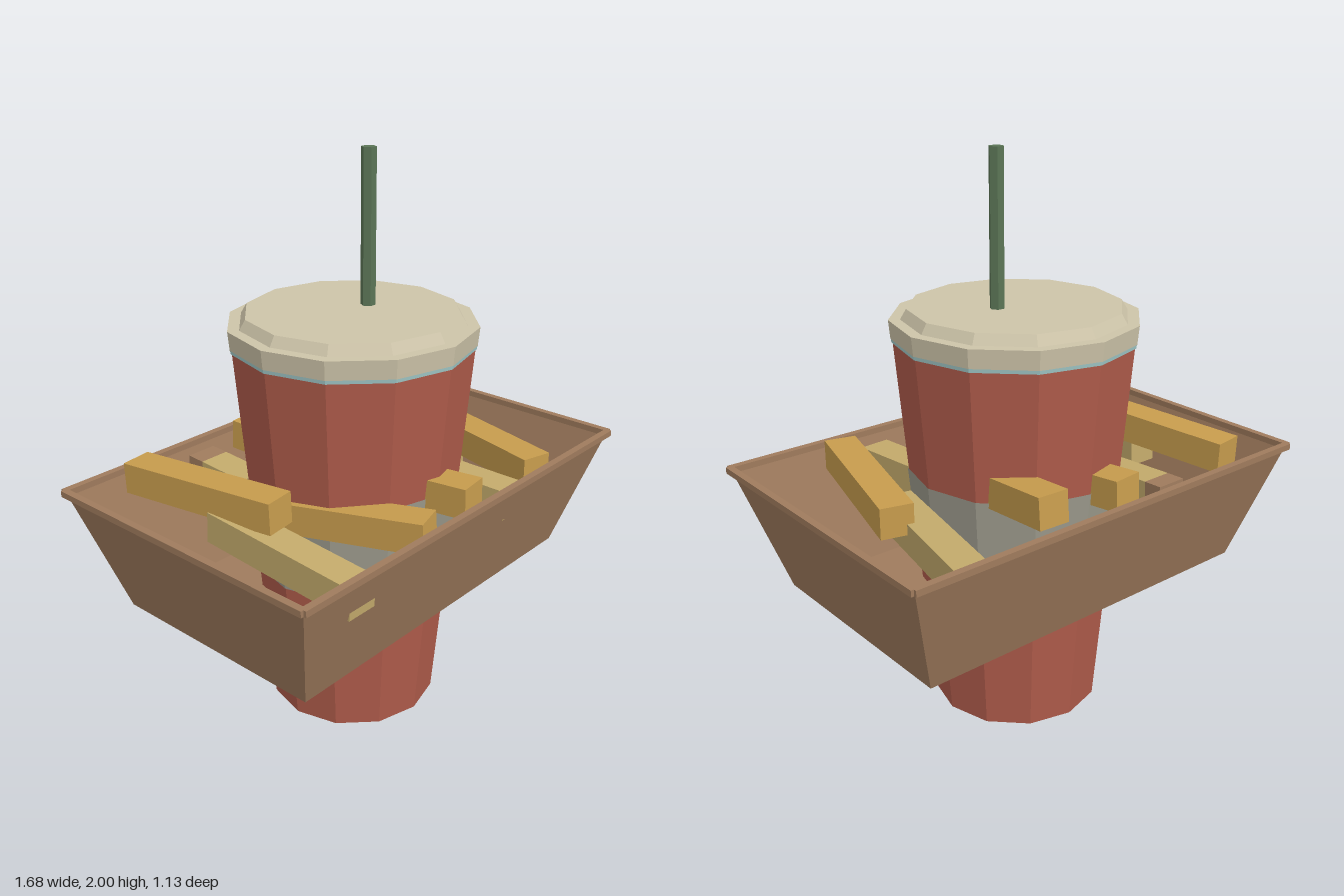
import * as THREE from 'three';

const mat = (name, color, extra = {}) => {
  const m = new THREE.MeshStandardMaterial({ color, flatShading: true, ...extra });
  m.name = name;
  return m;
};

export function createModel() {
  const root = new THREE.Group();
  root.name = 'drinkWithSnackTray';
  const red = mat('cup red', 0xb05c4b);
  const cream = mat('lid cream', 0xcdc4a9);
  const ice = mat('pale teal', 0xa4cccb);
  const grey = mat('band grey', 0x9c9a8c);
  const green = mat('straw green', 0x5b7556);
  const brown = mat('tray brown', 0x9f7b5d, { side: THREE.DoubleSide });
  const gold = mat('fry gold', 0xc79c4d);
  const pale = mat('fry pale', 0xc3aa6b);

  const add = (parent, name, geo, material, x = 0, y = 0, z = 0) => {
    const m = new THREE.Mesh(geo, material);
    m.name = name;
    m.position.set(x, y, z);
    parent.add(m);
    return m;
  };
  // Tapered twelve-sided section between two heights
  const ring = (parent, name, y0, r0, y1, r1, material, open = false) =>
    add(parent, name, new THREE.CylinderGeometry(r1, r0, y1 - y0, 12, 1, open), material, 0, (y0 + y1) / 2);

  // Cup with the band that sits inside the tray
  const cup = new THREE.Group();
  cup.name = 'cup';
  root.add(cup);
  ring(cup, 'cupBody', 0, 0.305, 1.37, 0.418, red);
  ring(cup, 'cupBand', 0.55, 0.354, 0.905, 0.383, grey, true);

  // Lid and straw
  ring(cup, 'lidSeal', 1.362, 0.421, 1.38, 0.424, ice);
  ring(cup, 'lidFlange', 1.375, 0.424, 1.44, 0.43, cream);
  ring(cup, 'lidTop', 1.44, 0.39, 1.475, 0.369, cream);
  const straw = add(cup, 'straw', new THREE.CylinderGeometry(0.026, 0.026, 0.6, 6), green, 0.08, 1.7, 0);
  straw.rotation.y = Math.PI / 6;

  // Tray: a box without its top, widened upwards
  const tray = new THREE.Group();
  tray.name = 'tray';
  root.add(tray);
  const y0 = 0.47, y1 = 0.915;
  const box = new THREE.BoxGeometry(2, 2, 2);
  const p = box.attributes.position;
  for (let i = 0; i < p.count; i++) {
    const up = p.getY(i) > 0;
    p.setXYZ(i, p.getX(i) * (up ? 0.825 : 0.69), up ? y1 : y0, p.getZ(i) * (up ? 0.55 : 0.418));
  }
  box.setIndex([...box.index.array].filter((_, i) => i < 12 || i >= 18));
  box.clearGroups();
  const shell = box.toNonIndexed();
  shell.computeVertexNormals();
  add(tray, 'trayShell', shell, brown);
  for (const s of [-1, 1]) {
    add(tray, 'rimLong', new THREE.BoxGeometry(1.66, 0.022, 0.025), brown, 0, 0.915, s * 0.553);
    add(tray, 'rimShort', new THREE.BoxGeometry(0.025, 0.022, 1.11), brown, s * 0.828, 0.915, 0);
  }

  // Fries: back and front ends of the top centre line
  const fries = new THREE.Group();
  fries.name = 'fries';
  root.add(fries);
  const W = 0.115, H = 0.11;
  const fry = (name, a, b, material) => {
    const from = new THREE.Vector3(...a), to = new THREE.Vector3(...b);
    const g = new THREE.BoxGeometry(W, H, from.distanceTo(to)).translate(0, -H / 2, 0);
    const m = add(fries, name, g, material);
    m.position.copy(from).add(to).multiplyScalar(0.5);
    m.lookAt(to);
  };
  fry('fryLeftTop', [-0.578, 0.98, -0.484], [-0.495, 1.0, 0.132], gold);
  fry('fryLeftLow', [-0.532, 0.9, -0.11], [-0.532, 0.86, 0.515], pale);
  fry('fryBackLeft', [-0.28, 0.9, -0.42], [-0.28, 0.87, 0.13], pale);
  fry('fryBackLeftTip', [-0.28, 0.903, -0.49], [-0.28, 0.9, -0.42], brown);
  fry('fryFrontLeft', [-0.37, 0.9, -0.08], [-0.2, 0.942, 0.5], gold);
  fry('fryBackMiddle', [-0.075, 0.98, -0.48], [-0.015, 0.94, 0.13], gold);
  fry('fryFrontMiddle', [-0.05, 0.96, -0.1], [0.025, 0.98, 0.508], gold);
  fry('fryBackRight', [0.256, 1.02, -0.484], [0.225, 0.965, 0.13], gold);
  fry('fryFrontRight', [0.225, 0.9, -0.1], [0.265, 0.88, 0.508], pale);
  fry('fryRightLow', [0.568, 0.87, -0.48], [0.435, 0.86, 0.12], pale);
  fry('fryRightTop', [0.576, 0.935, -0.1], [0.415, 0.942, 0.502], gold);

  return root;
}
